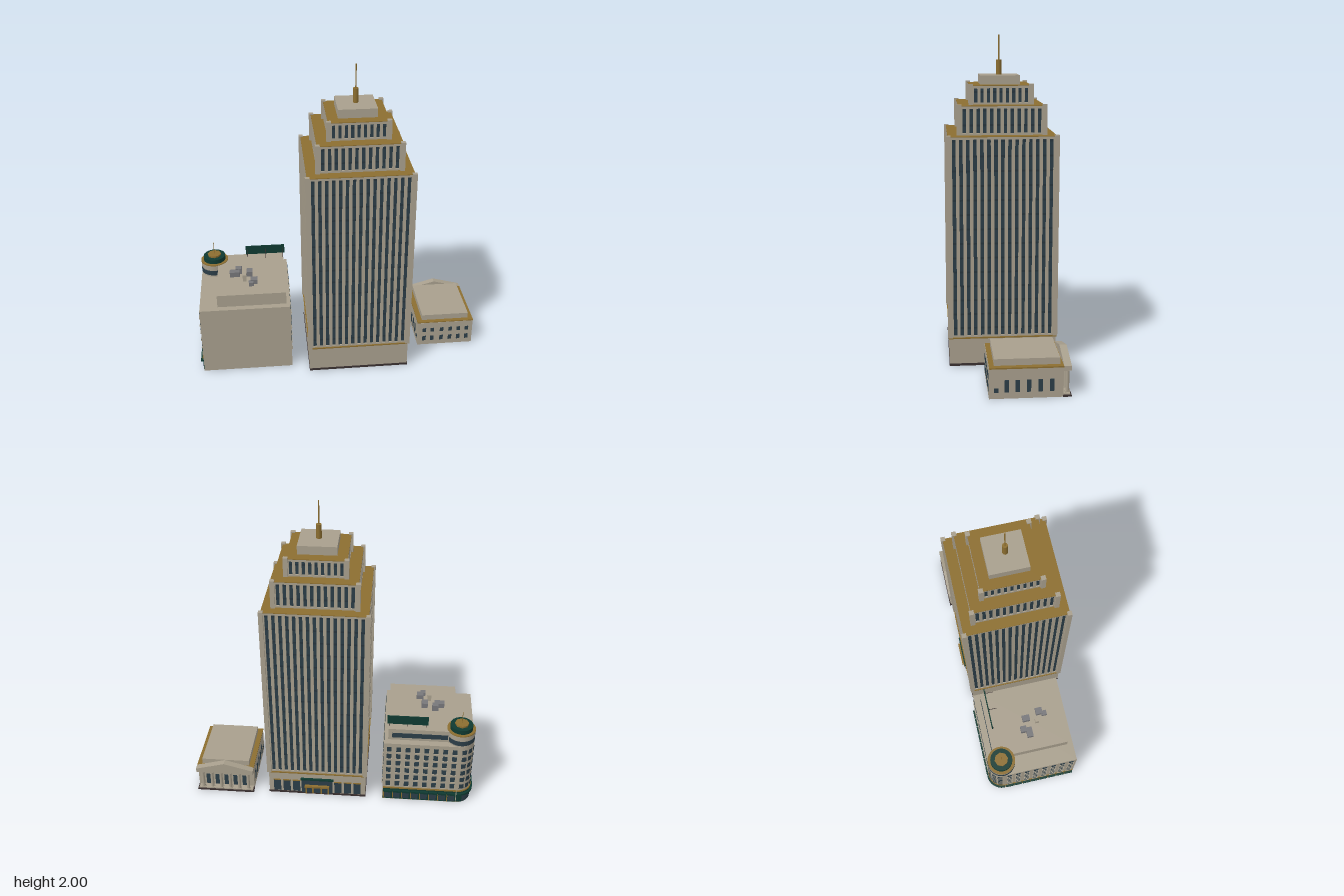
import * as THREE from 'three';
import { mergeGeometries } from 'three/addons/utils/BufferGeometryUtils.js';

const mat = (name, color) => Object.assign(new THREE.MeshStandardMaterial({ color }), { name });
const stone = mat('stone', 0xa89f8d);
const gold = mat('gold', 0x8c6e30);
const glass = mat('glass', 0x2b3d47);
const spandrel = mat('spandrel', 0x25343d);
const green = mat('green', 0x0f3a31);
const dark = mat('dark plinth', 0x3a3030);
const grey = mat('grey metal', 0x77777a);

function add(parent, name, geometry, material) {
  const mesh = new THREE.Mesh(geometry, material);
  mesh.name = name;
  parent.add(mesh);
  return mesh;
}

// Box geometry given by centre x, bottom y, centre z
const boxGeo = (w, h, d, x, y, z) => new THREE.BoxGeometry(w, h, d).translate(x, y + h / 2, z);
const box = (parent, name, m, ...b) => add(parent, name, boxGeo(...b), m);
const boxes = (parent, name, m, list) => add(parent, name, mergeGeometries(list.map(b => boxGeo(...b))), m);
const cyl = (parent, name, m, r, h, x, y, z, sides = 32) =>
  add(parent, name, new THREE.CylinderGeometry(r, r, h, sides).translate(x, y + h / 2, z), m);

function group(parent, name, x = 0, z = 0, turn = 0) {
  const g = new THREE.Group();
  g.name = name;
  g.position.set(x, 0, z);
  g.rotation.y = turn;
  parent.add(g);
  return g;
}

const range = n => Array.from({ length: n }, (_, i) => i);
// n evenly spaced centres filling a length
const spread = (n, length) => range(n).map(i => ((i + 0.5) / n - 0.5) * length);

// One setback of the tower: glass core, stone fins, corner piers, gold roof
function tier(parent, name, half, y0, y1, count, pierTop, floors) {
  const g = group(parent, name);
  const h = y1 - y0, core = half - 0.008;
  box(g, 'glassCore', glass, core * 2, h - 0.006, core * 2, 0, y0, 0);
  boxes(g, 'spandrels', spandrel, range(floors).map(i =>
    [core * 2 + 0.002, 0.012, core * 2 + 0.002, 0, y0 + (h * (i + 0.6)) / floors, 0]));
  box(g, 'topBand', stone, half * 2, 0.014, half * 2, 0, y1 - 0.018, 0);
  box(g, 'sillBand', stone, half * 2, 0.012, half * 2, 0, y0, 0);
  box(g, 'roof', gold, half * 2 + 0.002, 0.004, half * 2 + 0.002, 0, y1 - 0.004, 0);
  const span = half * 2 - 0.026, pitch = span / count;
  for (let s = 0; s < 4; s++) {
    const side = group(g, 'finnedSide', 0, 0, s * Math.PI / 2);
    boxes(side, 'fins', stone, range(count + 1).map(i =>
      [pitch * 0.48, h - 0.006, 0.01, -span / 2 + i * pitch, y0, half - 0.005]));
  }
  const c = half - 0.002;
  boxes(g, 'cornerPiers', stone, [[1, 1], [1, -1], [-1, 1], [-1, -1]].map(([a, b]) =>
    [0.028, pierTop - y0, 0.028, a * c, y0, b * c]));
}

function buildTower(root) {
  const t = group(root, 'tower', 0.11, 0.005);
  box(t, 'plinth', dark, 0.655, 0.015, 0.655, 0, 0, 0);
  box(t, 'base', stone, 0.65, 0.165, 0.65, 0, 0.012, 0);
  box(t, 'baseCornice', gold, 0.66, 0.008, 0.66, 0, 0.174, 0);
  tier(t, 'lowerTier', 0.323, 0.18, 1.415, 15, 1.42, 14);
  tier(t, 'middleTier', 0.257, 1.415, 1.59, 12, 1.597, 2);
  tier(t, 'upperTier', 0.184, 1.59, 1.705, 9, 1.713, 1);
  box(t, 'crown', stone, 0.24, 0.055, 0.24, 0, 1.705, 0);
  cyl(t, 'spireBase', gold, 0.017, 0.09, 0, 1.76, 0, 8);
  cyl(t, 'spire', gold, 0.004, 0.15, 0, 1.85, 0, 8);

  // Street front on the back
  const f = group(t, 'streetFront', 0, -0.325, Math.PI);
  const xs = [-0.27, -0.205, -0.14, 0.14, 0.205, 0.27];
  boxes(f, 'shopWindows', glass, xs.map(x => [0.048, 0.09, 0.008, x, 0.02, 0]));
  boxes(f, 'windowHeads', gold, xs.map(x => [0.052, 0.006, 0.012, x, 0.11, 0]));
  box(f, 'entranceGlass', glass, 0.21, 0.115, 0.01, 0, 0.015, 0.003);
  box(f, 'entranceCanopy', gold, 0.165, 0.014, 0.028, 0, 0.07, 0.012);
  boxes(f, 'entrancePosts', gold, [-0.075, -0.028, 0.028, 0.075].map(x => [0.01, 0.06, 0.016, x, 0.012, 0.008]));
  box(f, 'entranceHead', green, 0.22, 0.012, 0.018, 0, 0.125, 0.004);
}

// A wall of sash windows with sills above a shopfront; local +z faces out
function shopWall(parent, x, z, turn, length, columns, shops) {
  const g = group(parent, 'windowWall', x, z, turn);
  const cells = spread(columns, length).flatMap(cx => range(6).map(r => [cx, 0.122 + r * 0.058]));
  boxes(g, 'windows', glass, cells.map(([cx, y]) => [length / columns * 0.5, 0.036, 0.006, cx, y, 0]));
  boxes(g, 'sills', stone, cells.map(([cx, y]) => [length / columns * 0.64, 0.006, 0.014, cx, y - 0.006, 0]));
  if (!shops) return;
  box(g, 'shopBase', green, length, 0.095, 0.006, 0, 0.005, 0);
  box(g, 'shopBand', gold, length, 0.01, 0.012, 0, 0.096, 0);
  const bays = spread(columns, length), w = length / columns;
  boxes(g, 'shopWindows', glass, bays.map(cx => [w * 0.74, 0.05, 0.008, cx, 0.013, 0.001]));
  boxes(g, 'shopPosts', gold, bays.map(cx => [w * 0.1, 0.06, 0.012, cx - w / 2 + 0.004, 0.006, 0]));
  boxes(g, 'awnings', green, bays.map(cx => [w * 0.9, 0.014, 0.02, cx, 0.07, 0.008]));
}

function buildStore(root) {
  const s = group(root, 'cornerStore');
  const cx = -0.825, cz = -0.235, r = 0.09;
  // Block with one rounded corner
  const plan = new THREE.Shape();
  plan.moveTo(-0.915, -0.265);
  plan.lineTo(-0.33, -0.265);
  plan.lineTo(-0.33, 0.325);
  plan.lineTo(cx, 0.325);
  plan.absarc(cx, -cz, r, Math.PI / 2, Math.PI, false);
  plan.closePath();
  const body = new THREE.ExtrudeGeometry(plan, { depth: 0.475, bevelEnabled: false, curveSegments: 16 });
  add(s, 'block', body.rotateX(-Math.PI / 2), stone);
  box(s, 'penthouse', stone, 0.445, 0.085, 0.505, -0.5775, 0.475, -0.0275);
  box(s, 'penthouseWindow', glass, 0.36, 0.035, 0.006, -0.56, 0.495, -0.28);

  shopWall(s, -0.5775, -0.325, Math.PI, 0.485, 8, true);
  shopWall(s, -0.915, 0.015, -Math.PI / 2, 0.49, 8, true);
  shopWall(s, -0.33, -0.03, Math.PI / 2, 0.56, 9, false);

  // Curved bands wrapped around the rounded corner
  const band = (name, m, rad, h, y, start = 0, len = 1) => add(s, name,
    new THREE.CylinderGeometry(rad, rad, h, 12, 1, len < 1, Math.PI * (1 + start / 2), Math.PI / 2 * len)
      .translate(cx, y + h / 2, cz), m);
  band('cornerShopBase', green, r + 0.003, 0.095, 0.005);
  band('cornerShopBand', gold, r + 0.006, 0.01, 0.096);
  band('cornerAwning', green, r + 0.017, 0.014, 0.07);
  band('cornerDoor', glass, r + 0.005, 0.055, 0.01, 0.25, 0.5);
  for (let row = 0; row < 6; row++)
    for (let i = 0; i < 3; i++) band('cornerWindow', glass, r + 0.003, 0.036, 0.122 + row * 0.058, 0.08 + i * 0.3, 0.22);

  // Corner turret
  cyl(s, 'turret', stone, r, 0.085, cx, 0.475, cz);
  cyl(s, 'turretWindow', glass, r + 0.001, 0.035, cx, 0.485, cz);
  cyl(s, 'turretLedge', gold, r + 0.002, 0.006, cx, 0.558, cz);
  cyl(s, 'turretDrum', green, 0.073, 0.03, cx, 0.564, cz);
  cyl(s, 'turretRoof', gold, 0.045, 0.012, cx, 0.594, cz, 8);
  cyl(s, 'flagpole', gold, 0.002, 0.085, cx, 0.605, cz, 6);

  // Roof board on braces, and plant units
  box(s, 'roofBoard', green, 0.265, 0.063, 0.006, -0.4775, 0.58, -0.247);
  boxes(s, 'boardPosts', dark, [-0.6, -0.475, -0.36].map(x => [0.004, 0.06, 0.004, x, 0.558, -0.242]));
  boxes(s, 'boardBraces', dark, [-0.475, -0.36].map(x => [0.003, 0.004, 0.055, x, 0.575, -0.218]));
  boxes(s, 'roofUnits', grey, [
    [0.065, 0.035, 0.04, -0.685, 0.56, -0.01], [0.04, 0.04, 0.04, -0.658, 0.56, -0.045],
    [0.04, 0.035, 0.05, -0.588, 0.56, -0.013], [0.045, 0.03, 0.045, -0.558, 0.56, 0.082],
    [0.032, 0.025, 0.035, -0.577, 0.56, 0.113]]);
  box(s, 'roofVent', stone, 0.024, 0.045, 0.024, -0.62, 0.56, 0.055);
}

function buildHall(root) {
  const h = group(root, 'columnedHall', 0.7355, 0);
  box(h, 'body', stone, 0.38, 0.178, 0.42, 0, 0, -0.085);
  box(h, 'cornice', gold, 0.386, 0.008, 0.42, 0, 0.176, -0.087);
  box(h, 'atticBlock', stone, 0.32, 0.04, 0.375, 0, 0.183, -0.0925);

  // Front and side windows
  const xs = [-0.145, -0.09, -0.025, 0.035, 0.093, 0.15];
  boxes(h, 'frontWindows', glass, xs.flatMap(x =>
    [[0.024, 0.03, 0.006, x, 0.105, 0.125], [0.024, 0.036, 0.006, x, 0.035, 0.125]]));
  boxes(h, 'sideWindows', glass, [-0.19, 0.19].flatMap(x => [
    ...[0.026, -0.037, -0.1, -0.165, -0.23].map(z => [0.006, 0.072, 0.024, x, 0.038, z]),
    [0.006, 0.025, 0.024, x, 0.038, 0.085]]));

  // Portico on the back
  box(h, 'steps', dark, 0.386, 0.01, 0.05, 0, 0, -0.317);
  box(h, 'topStep', stone, 0.37, 0.008, 0.045, 0, 0.008, -0.312);
  spread(6, 0.37).forEach(x => {
    cyl(h, 'column', stone, 0.011, 0.14, x, 0.014, -0.322, 12);
    boxes(h, 'columnEnds', stone, [[0.028, 0.008, 0.028, x, 0.014, -0.322], [0.028, 0.008, 0.028, x, 0.148, -0.322]]);
  });
  const bays = spread(5, 0.31);
  boxes(h, 'porticoWindows', glass, bays.map(x => [0.028, 0.085, 0.006, x, 0.02, -0.295]));
  boxes(h, 'porticoUpperWindows', glass, bays.map(x => [0.028, 0.022, 0.006, x, 0.118, -0.295]));
  box(h, 'entablature', stone, 0.385, 0.028, 0.046, 0, 0.155, -0.317);
  const gable = new THREE.Shape([[-0.193, 0], [0.193, 0], [0, 0.053]].map(p => new THREE.Vector2(...p)));
  add(h, 'pediment', new THREE.ExtrudeGeometry(gable, { depth: 0.042, bevelEnabled: false })
    .translate(0, 0.183, -0.34), stone);
}

export function createModel() {
  const model = new THREE.Group();
  model.name = 'cityBuildings';
  buildTower(model);
  buildStore(model);
  buildHall(model);
  return model;
}
